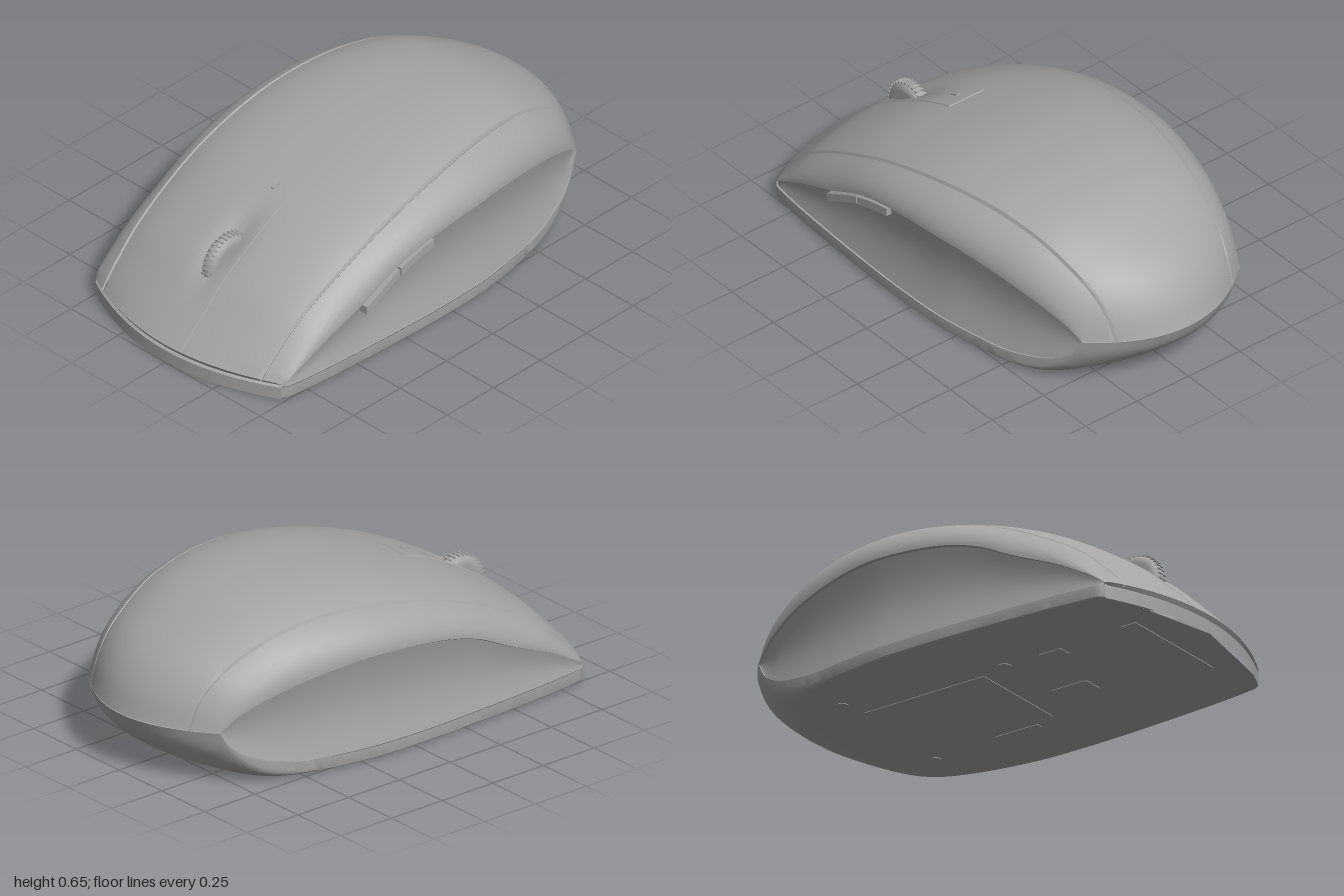
import * as THREE from 'three';
import { toCreasedNormals } from 'three/addons/utils/BufferGeometryUtils.js';

// smooth interpolation through [x, value] pairs
function table(pts) {
  const n = pts.length;
  const slope = (i) => {
    const a = pts[Math.max(i - 1, 0)], b = pts[Math.min(i + 1, n - 1)];
    return (b[1] - a[1]) / (b[0] - a[0]);
  };
  return (x) => {
    if (x <= pts[0][0]) return pts[0][1];
    if (x >= pts[n - 1][0]) return pts[n - 1][1];
    let i = 0;
    while (x > pts[i + 1][0]) i++;
    const [x0, y0] = pts[i], [x1, y1] = pts[i + 1];
    const h = x1 - x0, t = (x - x0) / h, t2 = t * t, t3 = t2 * t;
    return y0 * (2 * t3 - 3 * t2 + 1) + y1 * (3 * t2 - 2 * t3)
      + h * (slope(i) * (t3 - 2 * t2 + t) + slope(i + 1) * (t3 - t2));
  };
}

// guide curves along the length
const crownY = table([[-1, 0.08], [-0.87, 0.205], [-0.74, 0.32], [-0.5, 0.465], [-0.31, 0.54], [0, 0.622],
  [0.28, 0.645], [0.45, 0.632], [0.6, 0.597], [0.79, 0.505], [0.89, 0.43], [0.96, 0.335], [1, 0.235]]);
const bottomY = table([[-1, 0.003], [0.5, 0.003], [0.7, 0.004], [0.84, 0.053], [0.92, 0.115], [0.97, 0.17], [1, 0.235]]);
const ridgeY = table([[-0.87, 0.07], [-0.8, 0.115], [-0.66, 0.19], [-0.48, 0.268], [-0.3, 0.355], [-0.1, 0.405],
  [0.2, 0.427], [0.4, 0.41], [0.6, 0.365], [0.75, 0.3], [0.83, 0.235]]);
const ridgeZ = table([[-0.87, 0.49], [-0.84, 0.508], [-0.6, 0.532], [-0.2, 0.551], [0, 0.553], [0.2, 0.544],
  [0.5, 0.492], [0.7, 0.435], [0.83, 0.382]]);
const seamZ = table([[-0.9, 0.42], [-0.5, 0.445], [-0.3, 0.447], [0, 0.435], [0.3, 0.4], [0.6, 0.35], [0.91, 0.28]]);
const panelLowY = table([[-1, 0.06], [0.45, 0.06], [0.62, 0.085], [0.72, 0.12], [0.79, 0.17], [0.83, 0.235]]);
const squareness = table([[-1, 24], [0.3, 24], [0.6, 8], [0.8, 4], [1, 2.6]]);

// stations bow backwards at the nose and forwards at the tail
function bow(s) {
  if (s < -0.4) return 0.13 * ((s + 0.4) / 0.6) ** 2;
  return s > 0.2 ? -0.17 * ((s - 0.2) / 0.8) ** 2 : 0;
}
const edgeX = (s) => s + bow(s);
const stationX = (s, q) => s + bow(s) * q * q - (s > 0.9999 ? 0.01 : 0);
const seamQ = (s) => seamZ(s + bow(s) * 0.6) / ridgeZ(edgeX(s));

// upper surface, with a scoop around the wheel
function shellPoint(s, q, lift = 0) {
  const e = edgeX(s), low = ridgeY(e), z = q * ridgeZ(e);
  const rise = Math.sqrt(Math.max(0, 1 - Math.abs(q) ** 2.5));
  const scoop = 0.03 * Math.exp(-(((s + 0.66) / 0.13) ** 2) - (z / 0.06) ** 2);
  return [stationX(s, q), low + (crownY(s) - low) * rise - scoop + lift, z];
}

function panelPoint(s, t, side) {
  const e = edgeX(s), hi = ridgeY(e), lo = panelLowY(e), h = hi - lo, z = ridgeZ(e);
  if (t > 1) return [stationX(s, 1), lo, side * z];
  const dent = 0.008 + 0.075 * h * Math.sin(Math.PI * t);
  return [stationX(s, 1), hi - h * t, side * (z - (t === 0 ? 0 : dent))];
}

function basePoint(s, a) {
  const e = edgeX(s), top = panelLowY(e), p = 2 / squareness(s);
  const q = Math.sign(a) * Math.abs(Math.sin(a)) ** p;
  return [stationX(s, q), top - (top - bottomY(s)) * Math.max(0, Math.cos(a)) ** p, q * ridgeZ(e)];
}

// surface grid from a point rule
function grid(us, vs, point, flip, crease = 0.6) {
  const pos = [], idx = [], m = vs.length;
  us.forEach((u) => vs.forEach((v) => pos.push(...point(u, v))));
  for (let i = 0; i < us.length - 1; i++) for (let j = 0; j < m - 1; j++) {
    const a = i * m + j, b = a + m, c = a + 1, d = b + 1;
    if (flip) idx.push(a, c, b, b, c, d);
    else idx.push(a, b, c, b, d, c);
  }
  const g = new THREE.BufferGeometry();
  g.setAttribute('position', new THREE.Float32BufferAttribute(pos, 3));
  g.setIndex(idx);
  return toCreasedNormals(g, crease);
}
const range = (n, a, b) => Array.from({ length: n + 1 }, (_, i) => a + (b - a) * i / n);

export function createModel() {
  const model = new THREE.Group();
  model.name = 'computerMouse';
  const grey = new THREE.MeshStandardMaterial({ color: 0xa4a4a4 });
  grey.name = 'grey';
  const add = (name, geo, x = 0, y = 0, z = 0, parent = model) => {
    const mesh = new THREE.Mesh(geo, grey);
    mesh.name = name;
    mesh.position.set(x, y, z);
    parent.add(mesh);
    return mesh;
  };
  const stations = range(80, 0, 1).map((u) => -Math.cos(Math.PI * u));

  // crown, with its long edges turned down into the seams
  const rows = [-1, -0.985, ...range(44, -0.96, 0.96), 0.985, 1];
  add('topCover', grid(stations, rows,
    (s, k) => shellPoint(s, k * seamQ(s), Math.abs(k) === 1 ? -0.01 : 0), true));

  for (const side of [1, -1]) {
    const label = side > 0 ? 'left' : 'right';
    // rounded shoulder between seam and ridge
    add(label + 'Shoulder', grid(stations, [0, 0.03, ...range(14, 0.08, 1)], (s, t) => {
      const a = Math.asin(seamQ(s));
      return shellPoint(s, side * Math.sin(a + (Math.PI / 2 - a) * t), t === 0 ? -0.01 : 0);
    }, side > 0));
    // hollow grip panel ending on a small ledge
    add(label + 'GripPanel', grid(stations, [0, 0.015, ...range(12, 0.06, 1), 2],
      (s, t) => panelPoint(s, t, side), side > 0));
  }

  // base tray and nose edge
  add('base', grid(stations, range(56, -Math.PI / 2, Math.PI / 2), basePoint, false));
  add('noseEdge', grid(range(40, -1, 1), [0, 1, 2, 3], (q, j) => {
    const p = shellPoint(-1, q);
    if (j === 1) return [p[0] + 0.01, 0.062, p[2]];
    if (j === 2) return [p[0], 0.055, p[2]];
    return j === 3 ? [p[0], 0.003, p[2]] : p;
  }, true));

  // inlaid strip under the wheel
  add('wheelStrip', grid([...range(50, -1, -0.335), -0.33], [-1, -0.96, ...range(20, -0.9, 0.9), 0.96, 1], (s, k) =>
    shellPoint(s, k * 0.088 / ridgeZ(edgeX(s)), Math.abs(k) === 1 || s > -0.332 ? -0.004 : 0.004), true));
  const lamp = add('indicator', new THREE.BoxGeometry(0.035, 0.012, 0.018), -0.4, crownY(-0.4) + 0.002, 0);
  lamp.rotation.z = 0.38;

  // scroll wheel with grip ribs
  const wheel = new THREE.Group();
  wheel.name = 'scrollWheel';
  wheel.position.set(-0.66, 0.292, 0);
  model.add(wheel);
  const tyre = [[0, -0.03], [0.085, -0.032], [0.105, -0.028], [0.117, -0.014], [0.12, 0],
    [0.117, 0.014], [0.105, 0.028], [0.085, 0.032], [0, 0.03]].map(([r, y]) => new THREE.Vector2(r, y));
  add('tyre', new THREE.LatheGeometry(tyre, 48), 0, 0, 0, wheel).rotation.x = Math.PI / 2;
  for (let i = 0; i < 36; i++) {
    const a = i * Math.PI / 18;
    add('rib', new THREE.BoxGeometry(0.01, 0.008, 0.036), Math.cos(a) * 0.118, Math.sin(a) * 0.118, 0, wheel).rotation.z = a;
  }

  // two thumb buttons under the left ridge
  for (const [name, x0, x1] of [['forwardButton', -0.48, -0.304], ['backButton', -0.296, -0.12]]) {
    const xs = range(6, x0, x1);
    const outline = [...xs.map((x) => [x, ridgeY(x) - 0.036]), ...xs.reverse().map((x) => [x, ridgeY(x) - 0.002])];
    const shape = new THREE.Shape(outline.map(([x, y]) => new THREE.Vector2(x, y)));
    add(name, new THREE.ExtrudeGeometry(shape, { depth: 0.055, bevelEnabled: false }), 0, 0, 0.508);
  }

  // underside fittings
  const plate = (name, x, z, w, d) => add(name, new THREE.BoxGeometry(w, 0.005, d), x, 0.0025, z);
  plate('batteryDoor', 0.19, 0.02, 0.56, 0.44);
  plate('doorLatch', 0.1, 0.28, 0.2, 0.03);
  plate('frontFoot', -0.8, 0, 0.07, 0.5);
  plate('sensorFrame', -0.3, 0.1, 0.16, 0.09);
  plate('powerSwitch', -0.42, -0.2, 0.1, 0.06);
  add('pairButton', new THREE.CylinderGeometry(0.03, 0.03, 0.005, 24), -0.2, 0.0025, -0.22);
  for (const z of [-0.3, 0.3]) {
    plate('rearFoot', 0.62, z * 0.7, 0.05, 0.14);
    add('screw', new THREE.CylinderGeometry(0.025, 0.025, 0.005, 24), 0.5, 0.0025, z);
  }

  for (const part of model.children) part.position.z -= 0.006;
  return model;
}
